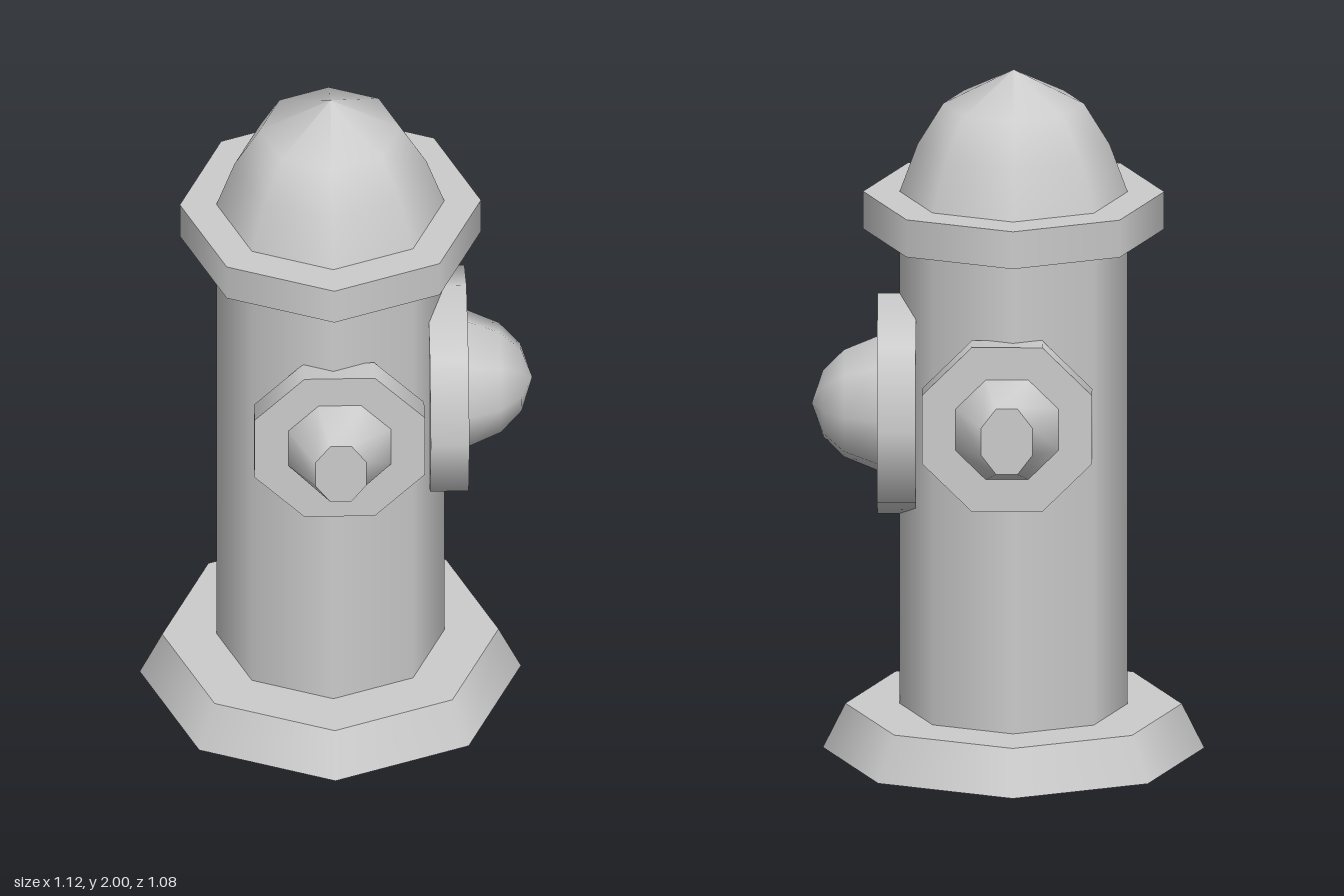
import * as THREE from 'three';

const SIDES = 8;
const material = new THREE.MeshStandardMaterial({ color: 0xcccccc, side: THREE.DoubleSide });

function part(name, geometry, parent) {
  const mesh = new THREE.Mesh(geometry, material);
  mesh.name = name;
  parent.add(mesh);
  return mesh;
}

// Octagonal drum standing between two heights
function drum(rTop, rBottom, y0, y1, open = false, turn = 0) {
  return new THREE.CylinderGeometry(rTop, rBottom, y1 - y0, SIDES, 1, open, turn)
    .translate(0, (y0 + y1) / 2, 0);
}

// Octagonal dome from [radius, height] pairs
function dome(points) {
  return new THREE.LatheGeometry(points.map(([r, y]) => new THREE.Vector2(r, y)), SIDES);
}

// Small outlet: a flat-sided collar and a cap tapering to a narrow end, pointing along +z
function smallOutlet(name) {
  const outlet = new THREE.Group();
  outlet.name = name;
  const turn = Math.PI / SIDES;
  const flat = 1 / Math.cos(turn);
  part('outletCollar', drum(0.242 * flat, 0.242 * flat, 0.29, 0.365, false, turn).rotateX(Math.PI / 2), outlet);

  const cap = drum(0.097 * flat, 0.149 * flat, 0.36, 0.493, false, turn);
  const pos = cap.attributes.position;
  for (let i = 0; i < pos.count; i++) {
    if (pos.getY(i) > 0.43) pos.setX(i, pos.getX(i) * 0.75);
  }
  cap.computeVertexNormals();
  // Join the normals across the seam of the side wall
  const n = cap.attributes.normal;
  for (const row of [0, SIDES + 1]) {
    const a = new THREE.Vector3().fromBufferAttribute(n, row);
    a.add(new THREE.Vector3().fromBufferAttribute(n, row + SIDES)).normalize();
    n.setXYZ(row, a.x, a.y, a.z);
    n.setXYZ(row + SIDES, a.x, a.y, a.z);
  }
  part('outletCap', cap.rotateX(Math.PI / 2), outlet);
  return outlet;
}

export function createModel() {
  const model = new THREE.Group();
  model.name = 'hydrant';
  const column = new THREE.Group();
  column.name = 'column';
  column.position.x = -0.017;
  model.add(column);

  // Hollow flared foot, open underneath
  part('footWall', drum(0.478, 0.542, 0, 0.13, true), column);
  part('footTop', new THREE.RingGeometry(0.324, 0.478, SIDES)
    .rotateX(-Math.PI / 2).translate(0, 0.13, 0), column);

  // Barrel, rim and bonnet
  part('barrel', drum(0.324, 0.324, 0.13, 1.53, true), column);
  part('rim', drum(0.428, 0.428, 1.53, 1.64), column);
  part('bonnet', dome([[0.324, 1.64], [0.273, 1.78], [0.2, 1.9], [0, 2]]), column);

  // Large outlet on the left side
  const large = new THREE.Group();
  large.name = 'largeOutlet';
  large.position.y = 1.015;
  large.rotation.z = -Math.PI / 2;
  part('largeCollar', drum(0.325, 0.325, 0.26, 0.37), large);
  part('largeCap', dome([[0.198, 0.37], [0.158, 0.465], [0.097, 0.525], [0, 0.557]]), large);
  model.add(large);

  // Matching small outlets at the front and back
  ['frontOutlet', 'backOutlet'].forEach((name, i) => {
    const outlet = smallOutlet(name);
    outlet.position.set(0, 1.04, -0.005);
    outlet.rotation.y = i * Math.PI;
    model.add(outlet);
  });

  return model;
}
